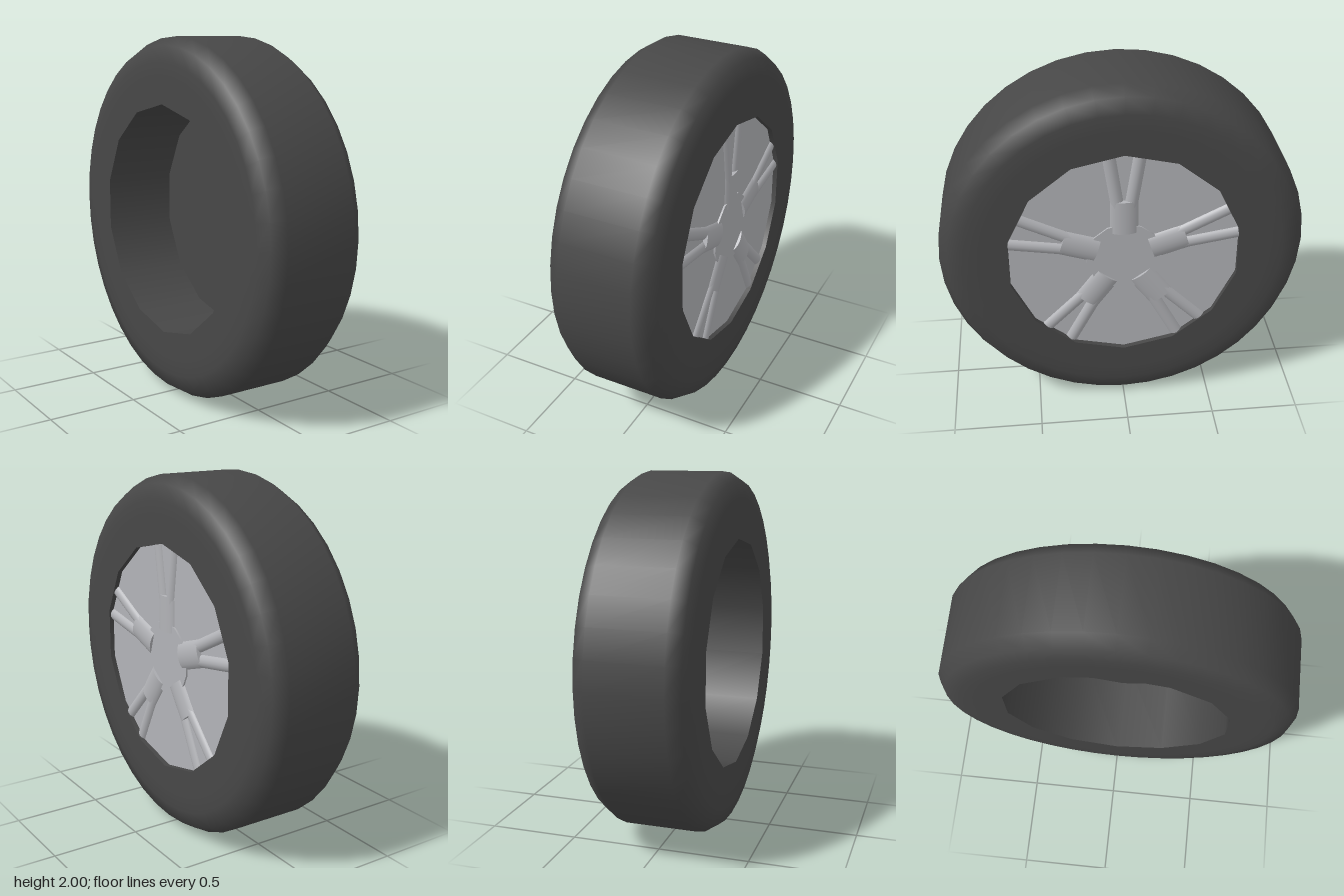
import * as THREE from 'three';

const RIM = 0.64;    // radius of the 14-sided wheel opening
const HALF = 0.297;  // half of the tyre width

export function createModel() {
  const rubber = new THREE.MeshStandardMaterial({ color: 0x474747 });
  rubber.name = 'darkRubber';
  const alloy = new THREE.MeshStandardMaterial({ color: 0xb2b3b7 });
  alloy.name = 'greyAlloy';

  const model = new THREE.Group();
  model.name = 'wheel';
  const wheel = new THREE.Group();
  wheel.name = 'wheelAssembly';
  wheel.position.y = 1;
  model.add(wheel);

  const add = (parent, name, geometry, material) => {
    const mesh = new THREE.Mesh(geometry, material);
    mesh.name = name;
    parent.add(mesh);
    return mesh;
  };
  // profile points are [radius, x]; the lathe axis is turned onto x
  const latheX = (profile, sides, start) =>
    new THREE.LatheGeometry(profile.map(p => new THREE.Vector2(...p)), sides, start)
      .rotateZ(-Math.PI / 2);
  const ring = (radius, sides) => Array.from({ length: sides }, (_, i) => {
    const a = Math.PI / 2 + (i / sides) * Math.PI * 2;
    return new THREE.Vector2(Math.cos(a) * radius, Math.sin(a) * radius);
  });

  // tyre tread and rounded shoulders
  add(wheel, 'tyreTread', latheX([
    [0.78, -HALF], [0.87, -HALF], [0.955, -0.275], [1, -0.205],
    [1, 0.205], [0.955, 0.275], [0.87, HALF], [0.78, HALF],
  ], 40, 0), rubber);

  // flat sidewalls with the 14-sided opening
  const wall = new THREE.Shape(ring(0.78, 40));
  wall.holes.push(new THREE.Path(ring(RIM, 14)));
  for (const side of [1, -1]) {
    const sidewall = add(wheel, side > 0 ? 'outerSidewall' : 'innerSidewall',
      new THREE.ShapeGeometry(wall).rotateY(side * Math.PI / 2), rubber);
    sidewall.position.x = side * HALF;
  }

  // bore through the tyre and the plate that closes it from behind
  add(wheel, 'bore', latheX([[RIM, HALF], [RIM, -HALF]], 14, Math.PI / 2), rubber);
  add(wheel, 'backPlate',
    new THREE.CircleGeometry(RIM, 40).rotateY(-Math.PI / 2), rubber).position.x = 0.12;

  // wheel face and hub
  add(wheel, 'wheelFace',
    new THREE.ShapeGeometry(new THREE.Shape(ring(RIM, 14))).rotateY(Math.PI / 2),
    alloy).position.x = 0.27;
  add(wheel, 'hub',
    new THREE.CylinderGeometry(0.21, 0.21, 0.04, 14, 1, false, Math.PI / 2).rotateZ(-Math.PI / 2),
    alloy).position.x = 0.26;

  // five spokes, each a thick root that forks into two bars
  for (let k = 0; k < 5; k++) {
    const spoke = new THREE.Group();
    spoke.name = 'spoke' + (k + 1);
    spoke.rotation.x = (k * Math.PI * 2) / 5;
    wheel.add(spoke);

    const root = add(spoke, 'spokeRoot', new THREE.CylinderGeometry(0.082, 0.082, 0.2, 20), alloy);
    root.scale.x = 0.5;
    root.position.set(0.255, 0.255, 0);

    for (const side of [1, -1]) {
      const bar = add(spoke, 'spokeBar', new THREE.CylinderGeometry(0.042, 0.042, 0.35, 16), alloy);
      bar.position.set(0.248, 0.455, side * 0.056);
      bar.rotation.x = side * 0.15;
    }
  }
  return model;
}
